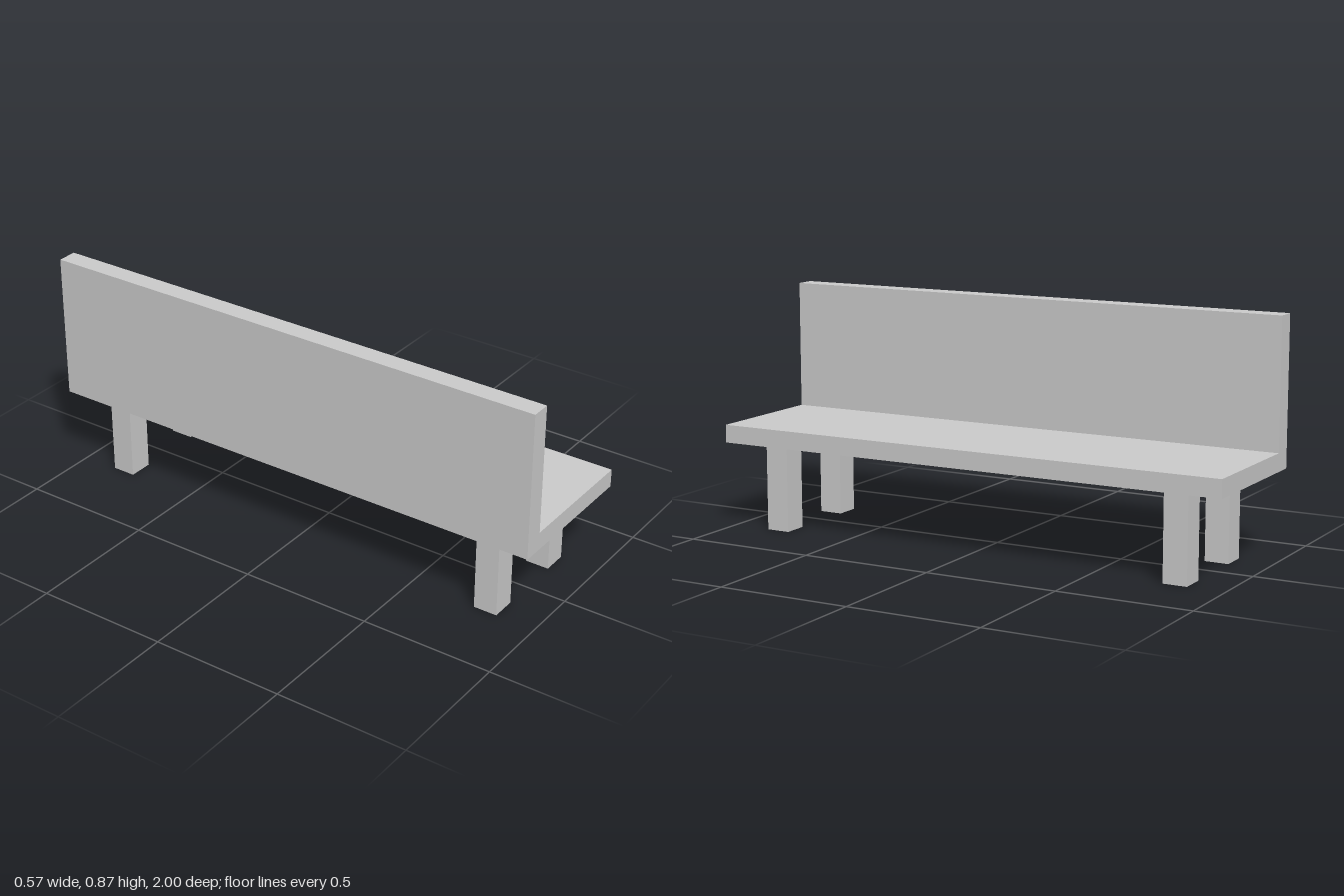
import * as THREE from 'three';

const material = new THREE.MeshStandardMaterial({ color: 0xcccccc, flatShading: true });

export function createModel() {
  const bench = new THREE.Group();
  bench.name = 'bench';

  // Seat and backrest: one L-shaped profile run along the length
  const profile = new THREE.Shape([
    [-0.285, 0.325], [0.285, 0.325], [0.285, 0.392],
    [-0.211, 0.392], [-0.211, 0.873], [-0.285, 0.873],
  ].map(([x, y]) => new THREE.Vector2(x, y)));
  const bodyGeometry = new THREE.ExtrudeGeometry(profile, { depth: 2, bevelEnabled: false });
  bodyGeometry.translate(0, 0, -1);
  const body = new THREE.Mesh(bodyGeometry, material);
  body.name = 'seatAndBackrest';
  bench.add(body);

  // Four square legs standing under the seat
  const legHeight = 0.325;
  const legGeometry = new THREE.BoxGeometry(0.094, legHeight, 0.09);
  for (const [row, x] of [['back', -0.163], ['front', 0.19]]) {
    for (const [end, z] of [['Near', 0.805], ['Far', -0.815]]) {
      const leg = new THREE.Mesh(legGeometry, material);
      leg.name = `${row}Leg${end}`;
      leg.position.set(x, legHeight / 2, z);
      bench.add(leg);
    }
  }

  return bench;
}
